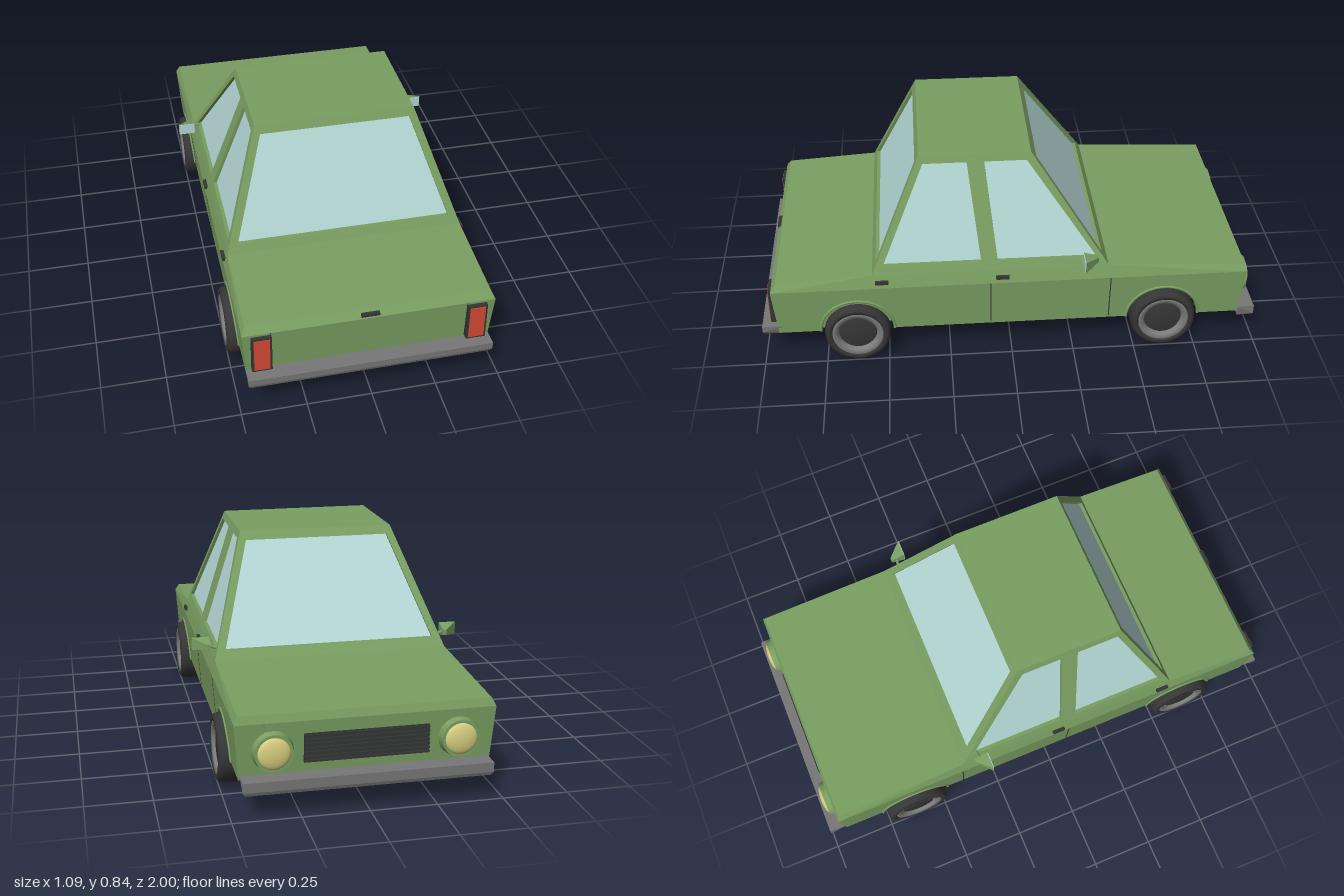
import * as THREE from 'three';
import { ConvexGeometry } from 'three/addons/geometries/ConvexGeometry.js';

const paint = (color, side = THREE.FrontSide) => new THREE.MeshStandardMaterial({ color, side });
const green = paint(0x7a9f62);
const glass = paint(0xb5d8d6);
const dark = paint(0x333635);
const steel = paint(0x777777);
const rubber = paint(0x363636, THREE.DoubleSide);
const rimGrey = paint(0x7c7c7c, THREE.DoubleSide);
const red = paint(0xd24a33);
const yellow = paint(0xd8cf80);

const V = (x, y, z) => new THREE.Vector3(x, y, z);

function add(parent, name, geometry, material, x = 0, y = 0, z = 0) {
  const mesh = new THREE.Mesh(geometry, material);
  mesh.name = name;
  mesh.position.set(x, y, z);
  parent.add(mesh);
  return mesh;
}

const box = (w, h, d) => new THREE.BoxGeometry(w, h, d);

// Convex solid symmetric in x, from half-sections [x, y, z]
const hull = (pts) => new ConvexGeometry(pts.flatMap(([x, y, z]) => [V(x, y, z), V(-x, y, z)]));

// Cabin planes: half width, back and front as functions of height
const BASE = 0.395, ROOF = 0.84;
const cabinX = (y) => 0.465 - (y - BASE) * 0.342;
const cabinBack = (y) => 0.55 - (y - BASE) * 0.449;
const cabinFront = (y) => -0.385 + (y - BASE) * 0.674;

function frustum(y0, y1, inset) {
  return hull([y0, y1].flatMap((y) => [
    [cabinX(y) - inset, y, cabinBack(y) - inset],
    [cabinX(y) - inset, y, cabinFront(y) + inset],
  ]));
}

function outline(points, holes = []) {
  const shape = new THREE.Shape(points.map(([u, v]) => new THREE.Vector2(u, v)));
  for (const h of holes) shape.holes.push(new THREE.Path(h.map(([u, v]) => new THREE.Vector2(u, v))));
  return shape;
}

const slab = (shape, depth) => new THREE.ExtrudeGeometry(shape, { depth, bevelEnabled: false, curveSegments: 28 });

// Shift one axis of every vertex according to its height
function lean(geometry, axis, rule) {
  const p = geometry.attributes.position;
  for (let i = 0; i < p.count; i++) p.setComponent(i, axis, p.getComponent(i, axis) + rule(p.getY(i)));
  geometry.computeVertexNormals();
  return geometry;
}

const WHEEL_Z = [0.62, -0.615], WHEEL_Y = 0.135, ARCH = 0.148, FLOOR = 0.13;
const sideX = (y) => 0.465 + (y - FLOOR) * 0.071;

function buildSide() {
  const side = new THREE.Group();

  // Lower side panel with wheel arches (shape u = -z)
  const s = new THREE.Shape();
  s.moveTo(-0.935, FLOOR);
  for (const z of WHEEL_Z) {
    s.lineTo(-z - ARCH, FLOOR);
    s.absarc(-z, FLOOR, ARCH, Math.PI, 0, true);
  }
  s.lineTo(0.93, FLOOR);
  s.lineTo(0.945, 0.34);
  s.lineTo(-0.95, 0.34);
  s.closePath();
  const panel = slab(s, 0.105).rotateY(Math.PI / 2).translate(-0.105, 0, 0);
  add(side, 'sidePanel', lean(panel, 0, sideX), green);

  // Window frame with two openings
  const frame = outline(
    [[-0.55, BASE], [0.385, BASE], [0.085, ROOF], [-0.35, ROOF]],
    [[[-0.505, 0.43], [-0.12, 0.43], [-0.165, 0.81], [-0.335, 0.81]],
     [[-0.055, 0.43], [0.337, 0.43], [0.068, 0.81], [-0.097, 0.81]]]);
  const frameGeo = slab(frame, 0.02).rotateY(Math.PI / 2).translate(-0.02, 0, 0);
  add(side, 'sideWindowFrame', lean(frameGeo, 0, cabinX), green);

  for (const z of WHEEL_Z) {
    // Arch lip
    const lip = add(side, 'archLip', new THREE.TorusGeometry(ARCH, 0.006, 6, 28, Math.PI)
      .rotateY(Math.PI / 2).translate(0, FLOOR, z), green);
    lean(lip.geometry, 0, sideX);

    // Wheel: tyre, rim ring and hub turned about the x axis
    const wheel = new THREE.Group();
    wheel.name = 'wheel';
    const turn = (name, pts, mat) => add(wheel, name,
      new THREE.LatheGeometry(pts.map(([r, y]) => new THREE.Vector2(r, y)), 36).rotateZ(-Math.PI / 2), mat);
    turn('tyre', [[0, -0.057], [0.115, -0.057], [0.128, -0.048], [0.132, -0.03], [0.133, 0],
      [0.132, 0.03], [0.128, 0.048], [0.118, 0.057], [0.104, 0.057], [0.1, 0.045]], rubber);
    turn('rim', [[0.103, 0.048], [0.1, 0.055], [0.08, 0.052], [0.075, 0.03]], rimGrey);
    turn('hub', [[0.076, 0.032], [0.07, 0.042], [0, 0.044]], rubber);
    wheel.position.set(0.45, WHEEL_Y - 0.002, z);
    side.add(wheel);
  }

  // Door handles and door seams
  for (const z of [0.513, 0.037]) add(side, 'doorHandle', box(0.02, 0.013, 0.052), dark, 0.474, 0.366, z);
  for (const z of [0.085, -0.395]) {
    const seam = add(side, 'doorSeam', box(0.004, 0.2, 0.004), dark, sideX(0.24) - 0.001, 0.24, z);
    seam.rotation.z = -0.071;
  }

  // Mirror: housing tapering forward, glass facing back, short stalk
  const housing = [[0.473, 0.415, -0.283], [0.543, 0.415, -0.283], [0.473, 0.465, -0.283], [0.543, 0.465, -0.283],
    [0.474, 0.428, -0.34], [0.488, 0.428, -0.34], [0.474, 0.448, -0.34], [0.488, 0.448, -0.34]];
  add(side, 'mirrorHousing', new ConvexGeometry(housing.map((p) => V(...p))), green);
  add(side, 'mirrorGlass', box(0.066, 0.046, 0.004), glass, 0.508, 0.44, -0.282);
  const stalk = new THREE.LineCurve3(V(0.445, 0.428, -0.32), V(0.482, 0.438, -0.315));
  add(side, 'mirrorStalk', new THREE.TubeGeometry(stalk, 1, 0.006, 8), green);

  // Tail light in a dark frame
  add(side, 'tailLightFrame', box(0.076, 0.158, 0.04), dark, 0.409, 0.252, 0.944);
  add(side, 'tailLight', box(0.06, 0.142, 0.04), red, 0.409, 0.252, 0.947);

  // Headlight bezel and domed lens
  add(side, 'headlightBezel', new THREE.CylinderGeometry(0.07, 0.078, 0.04, 32)
    .rotateX(-Math.PI / 2), green, 0.342, 0.235, -0.95);
  add(side, 'headlightLens', new THREE.SphereGeometry(0.06, 28, 10, 0, Math.PI * 2, 0, Math.PI / 2)
    .scale(1, 0.3, 1).rotateX(-Math.PI / 2), yellow, 0.342, 0.235, -0.968);
  return side;
}

export function createModel() {
  const car = new THREE.Group();
  car.name = 'car';

  // Body core between the wheel wells, and the bevelled deck above
  add(car, 'bodyCore', hull([[0.37, FLOOR, 0.935], [0.37, FLOOR, -0.93], [0.37, 0.34, 0.95], [0.37, 0.34, -0.945]]), green);
  add(car, 'bodyDeck', hull([[0.48, 0.34, 0.95], [0.48, 0.34, -0.945], [0.465, 0.37, 0.93], [0.465, 0.37, -0.935],
    [0.465, BASE, 0.55], [0.465, BASE, -0.385]]), green);

  // Cabin: recessed glass, roof, front and rear window frames
  add(car, 'windowGlass', frustum(0.38, 0.83, 0.014), glass);
  add(car, 'roof', frustum(0.815, ROOF, 0), green);
  const endFrame = outline(
    [[-0.465, BASE], [0.465, BASE], [0.313, ROOF], [-0.313, ROOF]],
    [[[-0.42, 0.43], [0.42, 0.43], [0.293, 0.807], [-0.293, 0.807]]]);
  add(car, 'rearWindowFrame', lean(slab(endFrame, 0.02).translate(0, 0, -0.02), 2, cabinBack), green);
  add(car, 'windshieldFrame', lean(slab(endFrame, 0.02), 2, cabinFront), green);

  // Both sides, mirrored
  for (const sx of [1, -1]) {
    const side = buildSide();
    side.name = sx > 0 ? 'leftSide' : 'rightSide';
    side.scale.x = sx;
    car.add(side);
  }

  // Bumpers with undercut lower edges
  add(car, 'rearBumper', hull([[0.468, 0.165, 0.92], [0.468, 0.165, 1], [0.468, 0.138, 1],
    [0.458, 0.125, 0.995], [0.458, 0.125, 0.92]]), steel);
  add(car, 'frontBumper', hull([[0.46, 0.145, -0.92], [0.46, 0.145, -1], [0.46, 0.108, -1],
    [0.45, 0.095, -0.995], [0.45, 0.095, -0.935]]), steel);

  // Grille with horizontal slats
  add(car, 'grille', box(0.46, 0.11, 0.02), dark, 0, 0.237, -0.935);
  for (let i = 0; i < 7; i++) add(car, 'grilleSlat', box(0.46, 0.007, 0.012), dark, 0, 0.189 + i * 0.016, -0.946);

  // Boot handle
  add(car, 'bootHandle', box(0.07, 0.011, 0.02), dark, 0, 0.354, 0.942);
  return car;
}
